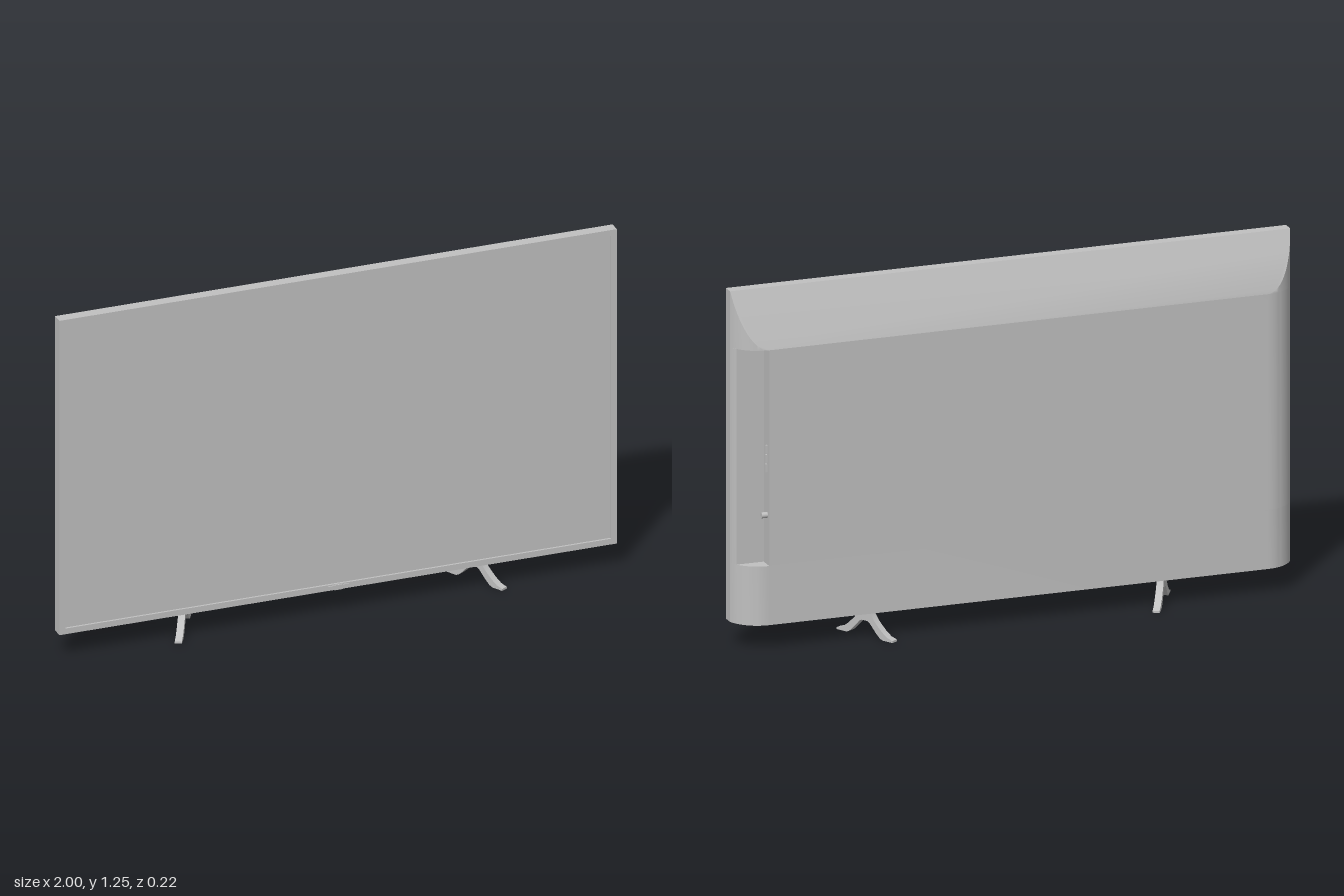
import * as THREE from 'three';
import { toCreasedNormals } from 'three/addons/utils/BufferGeometryUtils.js';

const BOTTOM = 0.088, TOP = 1.245, BEND = 1.05;     // heights of the body
const FRONT = 0.078, SEAM = 0.037, BACK = -0.043;   // depths of the body
const RECESS = { low: 0.295, x: 0.89, z: 0.01 };    // connector recess

export function createModel() {
  const grey = new THREE.MeshStandardMaterial({ color: 0xc0c0c0 });
  const model = new THREE.Group();

  const add = (name, geometry, parent = model) => {
    const mesh = new THREE.Mesh(geometry, grey);
    mesh.name = name;
    parent.add(mesh);
    return mesh;
  };
  const box = (name, w, h, d, x, y, z, parent) =>
    add(name, new THREE.BoxGeometry(w, h, d), parent).position.set(x, y, z);
  const extrude = (shape, depth) =>
    new THREE.ExtrudeGeometry(shape, { depth, bevelEnabled: false, curveSegments: 12 });
  const rect = (path, x0, y0, x1, y1) =>
    path.moveTo(x0, y0).lineTo(x1, y0).lineTo(x1, y1).lineTo(x0, y1).closePath();

  // Back shell: plan outline (x, -z) with rounded sides, stacked in three tiers
  const R = 0.116, cx = 0.8897, cs = -BACK - R;
  const tEnd = Math.acos((-SEAM - cs) / R), tCut = Math.acos((-RECESS.z - cs) / R);
  const arc = (t0, t1, side, n = 14) => Array.from({ length: n + 1 }, (_, i) => {
    const t = t0 + (t1 - t0) * i / n;
    return new THREE.Vector2(side * (cx + R * Math.sin(t)), cs + R * Math.cos(t));
  });
  const notch = [
    ...arc(tEnd, tCut, 1, 5),
    new THREE.Vector2(RECESS.x, -RECESS.z),
    new THREE.Vector2(RECESS.x, -BACK),
  ];
  const tier = (name, y0, y1, notched) => {
    const points = [...(notched ? notch : arc(tEnd, 0, 1)), ...arc(0, tEnd, -1)];
    const g = extrude(new THREE.Shape(points), y1 - y0);
    g.rotateX(-Math.PI / 2).translate(0, y0, 0);
    return add(name, g);
  };
  const lower = tier('lowerBackShell', BOTTOM, RECESS.low, false);
  const middle = tier('middleBackShell', RECESS.low, BEND, true);
  const upper = tier('upperBackShell', BEND, TOP, false);

  // Slope the top of the upper tier down towards the back
  const p = upper.geometry.attributes.position;
  for (let i = 0; i < p.count; i++) {
    if (p.getY(i) > BEND + 0.01) {
      p.setY(i, BEND + (TOP - BEND) * (p.getZ(i) - BACK) / (SEAM - BACK));
    }
  }
  for (const mesh of [lower, middle, upper]) mesh.geometry = toCreasedNormals(mesh.geometry, 0.5);

  // Front panel with a raised bezel around the screen
  const lip = 0.008, rim = 0.021, midY = (TOP + BOTTOM) / 2, height = TOP - BOTTOM;
  box('screenPanel', 2, height, FRONT - lip - SEAM, 0, midY, (FRONT - lip + SEAM) / 2);
  const frame = rect(new THREE.Shape(), -1, BOTTOM, 1, TOP);
  frame.holes.push(rect(new THREE.Path(), -1 + rim, BOTTOM + rim, 1 - rim, TOP - rim));
  add('bezel', extrude(frame, lip).translate(0, 0, FRONT - lip));

  // Sensor bump in the middle of the bottom bezel
  box('sensorBar', 0.075, 0.014, 0.006, 0, BOTTOM + 0.01, FRONT + 0.001);
  box('sensorWindow', 0.03, 0.018, 0.006, 0, BOTTOM + 0.01, FRONT + 0.002);

  // Connectors on the recess wall
  const ports = new THREE.Group();
  ports.name = 'connectors';
  model.add(ports);
  const socket = new THREE.Shape([[-0.014, -0.006], [0.014, -0.006], [0.014, 0.001], [0.009, 0.006],
    [-0.009, 0.006], [-0.014, 0.001]].map(([x, y]) => new THREE.Vector2(x, y)));
  for (let i = 0; i < 3; i++) {
    const m = add('videoSocket', extrude(socket, 0.008), ports);
    m.rotation.set(0, Math.PI / 2, Math.PI / 2, 'YXZ');
    m.position.set(RECESS.x - 0.001, 0.633 + i * 0.033, -0.021);
  }
  const aerial = add('aerialSocket', new THREE.CylinderGeometry(0.01, 0.01, 0.022, 20), ports);
  aerial.rotation.z = Math.PI / 2;
  aerial.position.set(RECESS.x + 0.01, 0.468, -0.021);

  // Arched feet, turned outwards
  const half = [[0.024, 0.092], [0.029, 0.08], [0.042, 0.061], [0.056, 0.047], [0.076, 0.029],
    [0.098, 0.014], [0.122, 0.007], [0.122, 0], [0.078, 0], [0.066, 0.006], [0.05, 0.02],
    [0.034, 0.037], [0.022, 0.05], [0.012, 0.055]];
  const mirrored = half.map(([u, y]) => [-u, y]).reverse();
  const arch = new THREE.Shape([...half, ...mirrored].map(([u, y]) => new THREE.Vector2(u, y)));
  const footGeometry = toCreasedNormals(extrude(arch, 0.024).translate(0, 0, -0.012), 0.4);
  for (const side of [1, -1]) {
    const foot = add(side > 0 ? 'leftFoot' : 'rightFoot', footGeometry);
    foot.position.x = side * 0.526;
    foot.rotation.y = -side * 1.064;
  }
  return model;
}
